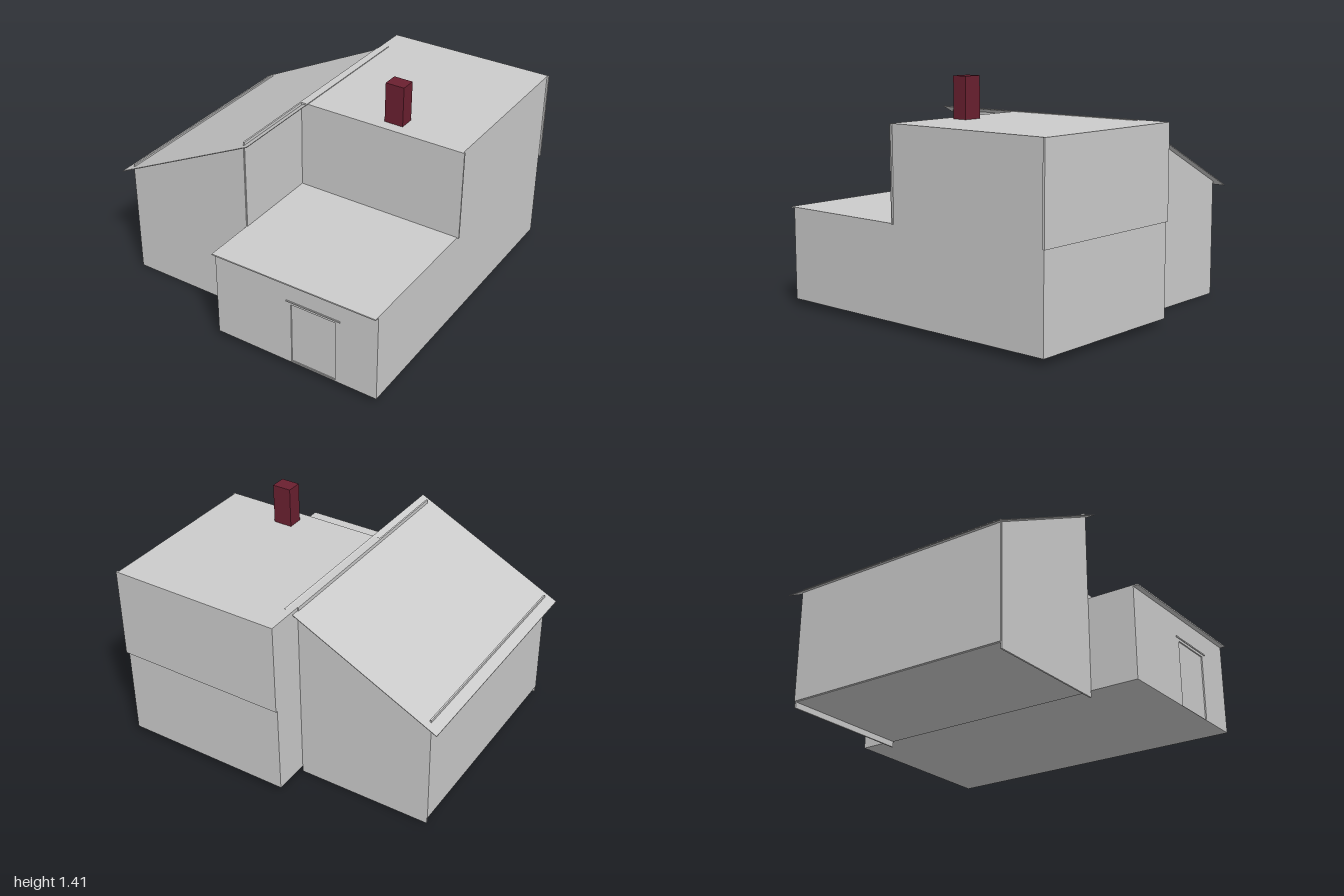
import * as THREE from 'three';

const grey = new THREE.MeshStandardMaterial({ color: 0xcccccc, flatShading: true, side: THREE.DoubleSide });
const red = new THREE.MeshStandardMaterial({ color: 0x6a2030, flatShading: true });

// Box given by its minimum and maximum on each axis
function slab(name, [x0, x1], [y0, y1], [z0, z1], material = grey) {
  const mesh = new THREE.Mesh(new THREE.BoxGeometry(x1 - x0, y1 - y0, z1 - z0), material);
  mesh.position.set((x0 + x1) / 2, (y0 + y1) / 2, (z0 + z1) / 2);
  mesh.name = name;
  return mesh;
}

// Flat outline in x and y (with optional holes), extruded along z
function panel(name, points, z0, z1, holes = []) {
  const toVectors = (list) => list.map(([x, y]) => new THREE.Vector2(x, y));
  const shape = new THREE.Shape(toVectors(points));
  holes.forEach((hole) => shape.holes.push(new THREE.Path(toVectors(hole))));
  const geometry = new THREE.ExtrudeGeometry(shape, { depth: z1 - z0, bevelEnabled: false });
  geometry.translate(0, 0, z0);
  const mesh = new THREE.Mesh(geometry, grey);
  mesh.name = name;
  return mesh;
}

const rect = (x0, x1, y0, y1) => [[x0, y0], [x1, y0], [x1, y1], [x0, y1]];

function createMainBlock() {
  const block = new THREE.Group();
  block.name = 'mainBlock';
  const base = 0.04, mid = 0.6, top = 1.16, step = 0.1;
  const left = -0.09, right = 0.975;

  // Lower storey, full depth
  block.add(slab('mainFloor', [left, right], [base, base + 0.01], [-0.98, 0.965]));
  block.add(slab('lowerBackWall', [left, right], [base, mid], [-0.985, -0.975]));
  block.add(slab('lowerRoof', [left, right], [mid - 0.005, mid + 0.003], [step, 1.0]));

  // Front wall with a shallow door recess and a small lintel
  block.add(panel('frontWall', rect(left, right, base, mid), 0.96, 0.97,
    [rect(0.42, 0.71, base + 0.003, 0.445)]));
  block.add(slab('door', [0.415, 0.715], [base, 0.45], [0.955, 0.962]));
  block.add(slab('doorLintel', [0.39, 0.74], [0.46, 0.468], [0.965, 0.975]));

  // Upper storey, set back from the front
  block.add(slab('upperFrontWall', [left, right + 0.01], [mid, top], [step, step + 0.01]));
  block.add(slab('upperBackWall', [left, right + 0.01], [mid, top], [-0.998, -0.985]));
  block.add(slab('upperRoof', [left, right], [top - 0.008, top], [-0.998, step]));

  // Stepped side walls
  for (const [name, x] of [['innerSideWall', left], ['outerSideWall', right - 0.01]]) {
    block.add(slab(name, [x, x + 0.01], [base, mid], [-0.985, 0.97]));
    block.add(slab(name + 'Upper', [x, x + 0.01], [mid, top], [-0.985, step]));
  }

  block.add(slab('chimney', [0.438, 0.556], [1.15, 1.406], [-0.055, 0.04], red));
  return block;
}

function createSideWing() {
  const wing = new THREE.Group();
  wing.name = 'sideWing';
  const outer = -0.925, inner = -0.09;
  const roofY = (x) => 0.69 + (x + 0.99) * 0.497;

  // Sloping end walls that reach the ground
  const outline = [[outer, 0], [inner, 0], [inner, roofY(inner)], [outer, roofY(outer)]];
  wing.add(panel('wingFrontWall', outline, 0.665, 0.675));
  wing.add(panel('wingBackWall', outline, -0.76, -0.75));

  wing.add(slab('wingFloor', [outer, inner], [0.035, 0.045], [-0.755, 0.67]));
  // Long walls whose tops show as ridges through the roof
  wing.add(slab('wingOuterWall', [-0.93, -0.92], [0.04, 0.738], [-0.76, 0.67]));
  wing.add(slab('wingInnerWall', [-0.095, -0.085], [0.04, 1.16], [-0.76, 0.67]));

  // Thin lean-to roof overhanging all round
  const [low, high, thick] = [-0.99, -0.04, 0.005];
  wing.add(panel('wingRoof', [
    [low, roofY(low) - thick / 2], [high, roofY(high) - thick / 2],
    [high, roofY(high) + thick / 2], [low, roofY(low) + thick / 2],
  ], -0.81, 0.71));
  return wing;
}

export function createModel() {
  const house = new THREE.Group();
  house.name = 'house';
  house.add(createMainBlock(), createSideWing());
  return house;
}
